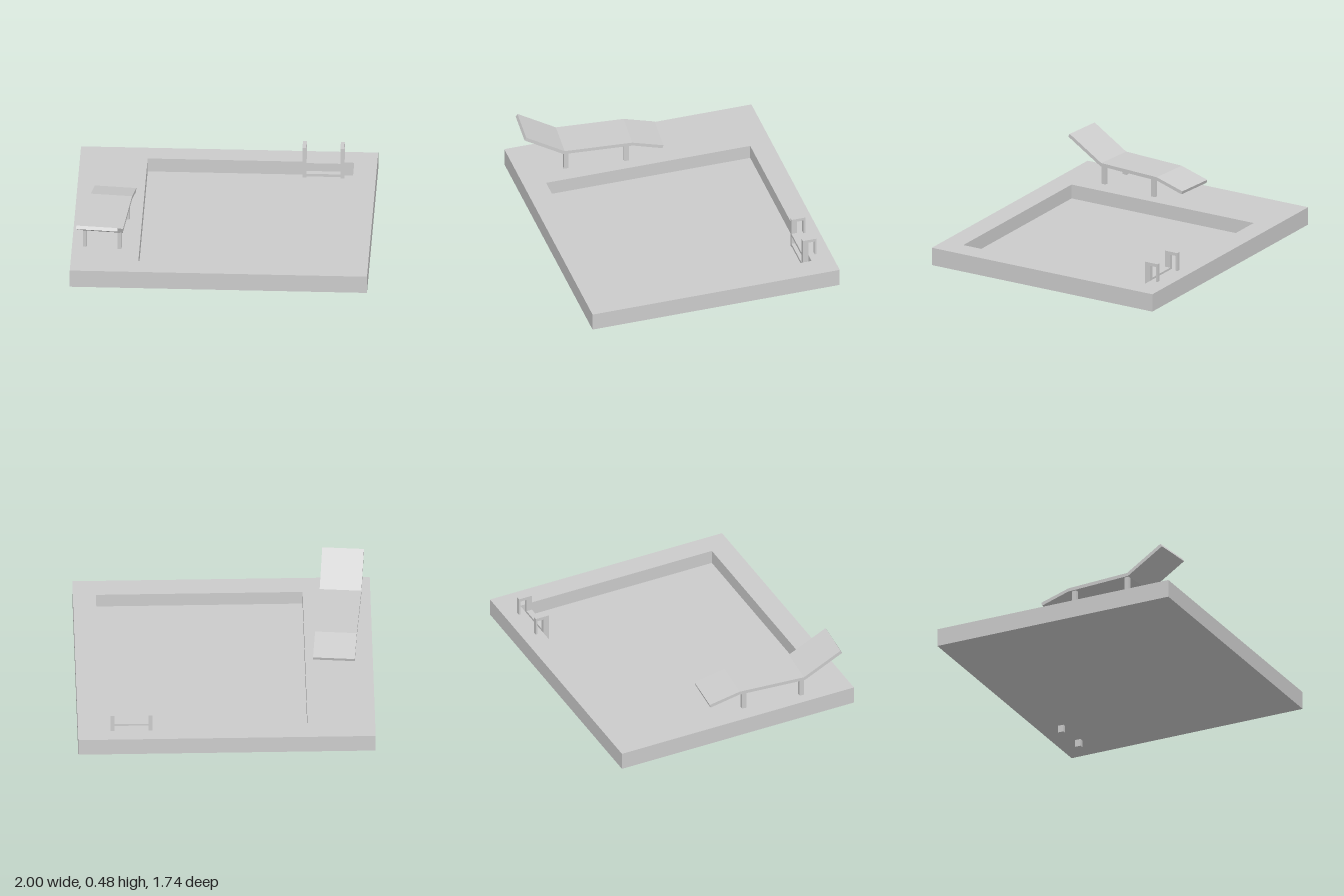
import * as THREE from 'three';

const material = new THREE.MeshStandardMaterial({ color: 0xcccccc, flatShading: true });

function addMesh(parent, name, geometry) {
  const mesh = new THREE.Mesh(geometry, material);
  mesh.name = name;
  parent.add(mesh);
  return mesh;
}

// Box given by its minimum and maximum on each axis
function addBox(parent, name, [x0, x1], [y0, y1], [z0, z1]) {
  const mesh = addMesh(parent, name, new THREE.BoxGeometry(x1 - x0, y1 - y0, z1 - z0));
  mesh.position.set((x0 + x1) / 2, (y0 + y1) / 2, (z0 + z1) / 2);
}

function rectangle(PathType, x0, x1, y0, y1) {
  return new PathType([[x0, y0], [x1, y0], [x1, y1], [x0, y1]].map(p => new THREE.Vector2(...p)));
}

const GROUND = 0.05, DECK = 0.174, FLOOR = 0.075;

// Paved slab with a rectangular basin
function createPool() {
  const pool = new THREE.Group();
  pool.name = 'pool';
  const outline = rectangle(THREE.Shape, -1, 1, -0.87, 0.87);
  outline.holes.push(rectangle(THREE.Path, -0.545, 0.845, -0.717, 0.72));
  const deck = new THREE.ExtrudeGeometry(outline, { depth: DECK - GROUND, bevelEnabled: false });
  deck.rotateX(-Math.PI / 2);
  addMesh(pool, 'deck', deck).position.y = GROUND;
  addBox(pool, 'poolFloor', [-0.545, 0.845], [GROUND, FLOOR], [-0.72, 0.717]);
  return pool;
}

// Two hooked rails joined by rungs
function createLadder() {
  const ladder = new THREE.Group();
  ladder.name = 'ladder';
  for (const x of [[0.498, 0.525], [0.753, 0.78]]) {
    addBox(ladder, 'ladderPost', x, [0, 0.302], [-0.718, -0.678]);
    addBox(ladder, 'ladderHandle', x, [0.28, 0.302], [-0.775, -0.718]);
    addBox(ladder, 'ladderAnchor', x, [DECK, 0.28], [-0.775, -0.762]);
  }
  for (const top of [0.187, 0.105]) {
    addBox(ladder, 'ladderRung', [0.525, 0.753], [top - 0.02, top], [-0.718, -0.678]);
  }
  return ladder;
}

// Reclining sunbed on four legs, turned slightly on the deck
function createLounger() {
  const lounger = new THREE.Group();
  lounger.name = 'lounger';
  const width = 0.281;

  // Side profile as (z, y): underside, then top
  const profile = new THREE.Shape([
    [-0.471, 0.248], [-0.266, 0.301], [0.209, 0.301], [0.478, 0.455],
    [0.466, 0.476], [0.202, 0.325], [-0.263, 0.325], [-0.478, 0.271],
  ].map(p => new THREE.Vector2(...p)));
  const bed = new THREE.ExtrudeGeometry(profile, { depth: width, bevelEnabled: false });
  bed.rotateY(-Math.PI / 2).translate(width / 2, 0, 0);
  addMesh(lounger, 'loungerBed', bed);

  for (const x of [-0.118, 0.118]) {
    for (const z of [0.19, -0.225]) {
      addBox(lounger, 'loungerLeg', [x - 0.0125, x + 0.0125], [DECK, 0.305], [z - 0.016, z + 0.016]);
    }
  }
  lounger.position.set(-0.778, 0, 0.338);
  lounger.rotation.y = -0.089;
  return lounger;
}

export function createModel() {
  const model = new THREE.Group();
  model.name = 'poolTerrace';
  model.add(createPool(), createLadder(), createLounger());
  return model;
}
